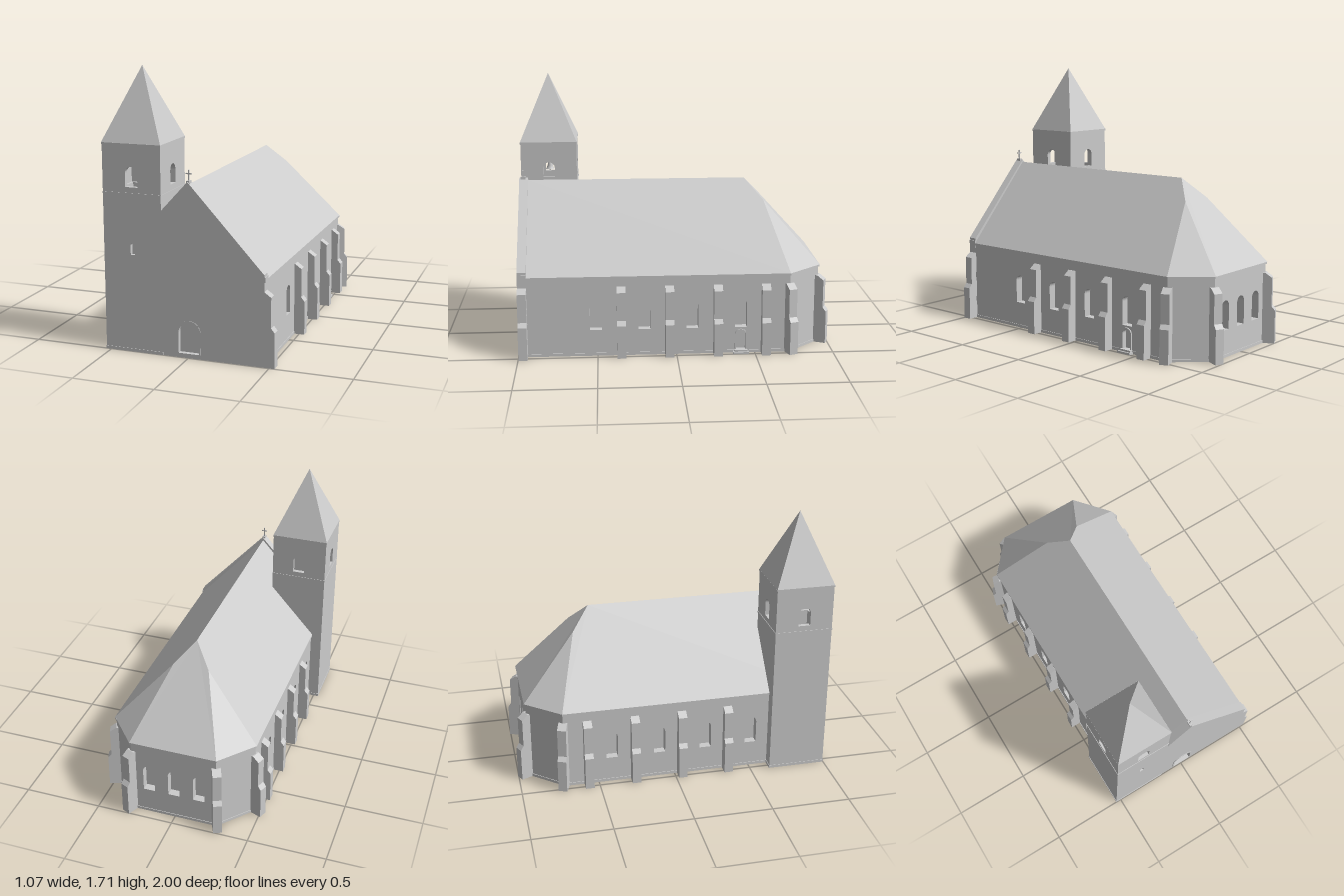
import * as THREE from 'three';

const stone = new THREE.MeshStandardMaterial({ color: 0xcccccc, side: THREE.DoubleSide });
stone.name = 'stone';

function add(parent, geo, name, x = 0, y = 0, z = 0) {
  const m = new THREE.Mesh(geo, stone);
  m.name = name;
  m.position.set(x, y, z);
  parent.add(m);
  return m;
}
const box = (parent, name, w, h, d, x, y, z) => add(parent, new THREE.BoxGeometry(w, h, d), name, x, y, z);
const poly = pts => new THREE.Shape(pts.map(p => new THREE.Vector2(...p)));

// Round-headed opening: centre u, width w, sill y0, crown y1
function arch(u, w, y0, y1) {
  const r = w / 2, s = new THREE.Shape();
  s.moveTo(u - r, y0);
  s.lineTo(u + r, y0);
  s.lineTo(u + r, y1 - r);
  s.absarc(u, y1 - r, r, 0, Math.PI, false);
  s.lineTo(u - r, y0);
  return s;
}

// Upright wall following a plan line, outer face on the line.
// Openings: { u, w, y0, y1, open } with u measured along the wall; closed ones end in a pane at the inner face.
function wall(parent, name, [x0, z0], [x1, z1], outline, openings = [], t = 0.05) {
  const g = new THREE.Group();
  g.name = name;
  const shape = poly(outline);
  for (const o of openings) {
    const a = arch(o.u, o.w, o.y0, o.y1);
    shape.holes.push(new THREE.Path(a.getPoints(8)));
    if (!o.open) add(g, new THREE.ShapeGeometry(a, 8), 'pane', 0, 0, -(o.depth ?? t));
  }
  add(g, new THREE.ExtrudeGeometry(shape, { depth: t, bevelEnabled: false }), 'masonry', 0, 0, -t);
  g.position.set(x0, 0, z0);
  g.rotation.y = Math.atan2(z0 - z1, x1 - x0);
  parent.add(g);
}
const rect = (len, y0, y1) => [[0, y0], [len, y0], [len, y1], [0, y1]];
const span = (p, q) => Math.hypot(q[0] - p[0], q[1] - p[1]);

// Horizontal band along a wall line
function band(parent, name, p, q, y0, y1, out) {
  const len = span(p, q);
  const g = new THREE.BoxGeometry(len + out, y1 - y0, out + 0.02).translate(len / 2, (y0 + y1) / 2, out / 2 - 0.01);
  add(parent, g, name, p[0], 0, p[1]).rotation.y = Math.atan2(p[1] - q[1], q[0] - p[0]);
}

// Two-stage buttress with sloping tops, pointing at an angle in plan
const buttressShape = poly([[-0.02, 0], [0.067, 0], [0.067, 0.215], [0.045, 0.242], [0.045, 0.425], [0.003, 0.455], [-0.02, 0.455]]);
function buttress(parent, x, z, angle) {
  const g = new THREE.ExtrudeGeometry(buttressShape, { depth: 0.056, bevelEnabled: false }).translate(0, 0, -0.028);
  add(parent, g, 'buttress', x, 0, z).rotation.y = angle;
}

// Thin raised surround for a door
function doorFrame(parent, name, outer, inner, x, z, angle) {
  outer.holes.push(new THREE.Path(inner.getPoints(8)));
  const g = new THREE.ExtrudeGeometry(outer, { depth: 0.008, bevelEnabled: false });
  add(parent, g, name, x, 0, z).rotation.y = angle;
}

export function createModel() {
  const church = new THREE.Group();
  church.name = 'church';
  church.position.x = 0.004;

  // Nave and apse walls
  const X = 0.463, H = 0.52, zc = -0.72, bx = 0.28, zb = -0.932;
  const win = u => ({ u, w: 0.076, y0: 0.17, y1: 0.355 });
  const bays = [0.51, 0.205, -0.1, -0.41];
  const nave = new THREE.Group();
  nave.name = 'nave';
  church.add(nave);
  const sideDoor = { u: 0.99 + 0.41, w: 0.06, y0: 0.022, y1: 0.148, depth: 0.025 };
  const plan = [[X, 0.99], [X, zc], [bx, zb], [-bx, zb], [-X, zc], [-X, 0.63]];
  const names = ['rightWall', 'apseRightWall', 'apseBackWall', 'apseLeftWall', 'leftWall'];
  const holes = [
    [...bays.map(z => win(0.99 - z)), sideDoor],
    [], [-0.165, 0, 0.165].map(d => win(bx + d)), [],
    bays.map(z => win(z - zc)),
  ];
  names.forEach((n, i) => {
    const p = plan[i], q = plan[i + 1];
    wall(nave, n, p, q, rect(span(p, q), 0, H), holes[i]);
    band(nave, 'eavesMoulding', p, q, 0.509, 0.522, 0.008);
    band(nave, 'plinth', p, q, 0, 0.018, 0.004);
  });
  // Ground slab beside the tower
  box(nave, 'floor', 0.63, 0.004, 1.71, 0.147, 0.002, 0.137);

  // Side door surround and steps
  doorFrame(nave, 'sideDoorFrame', arch(0, 0.076, 0.02, 0.158), arch(0, 0.06, 0.022, 0.148), X, -0.41, Math.PI / 2);
  box(nave, 'sideDoorLowerStep', 0.04, 0.012, 0.1, X + 0.015, 0.006, -0.41);
  box(nave, 'sideDoorUpperStep', 0.028, 0.024, 0.084, X + 0.01, 0.012, -0.41);

  // Front gable wall with main door
  const gable = [[-0.17, 0], [0.466, 0], [0.466, 0.555], [0, 1.063], [-0.17, 0.878]].map(([x, y]) => [x + 0.17, y]);
  const door = { u: 0.17, w: 0.128, y0: 0.028, y1: 0.22, depth: 0.025 };
  wall(church, 'gableWall', [-0.17, 0.997], [0.466, 0.997], gable, [door], 0.057);
  doorFrame(church, 'mainDoorFrame', arch(0, 0.15, 0.026, 0.232), arch(0, 0.128, 0.028, 0.22), 0, 0.992, 0);
  box(church, 'gableKneeler', 0.012, 0.022, 0.057, 0.466, 0.53, 0.968);

  // Gable cross
  const cross = new THREE.Group();
  cross.name = 'gableCross';
  cross.position.set(0, 1.05, 0.972);
  box(cross, 'crossBase', 0.02, 0.02, 0.034, 0, 0.008, 0);
  box(cross, 'crossUpright', 0.007, 0.08, 0.007, 0, 0.04, 0);
  box(cross, 'crossArms', 0.036, 0.007, 0.007, 0, 0.058, 0);
  church.add(cross);

  // Buttresses along the sides and on the apse corners
  const deg = Math.PI / 180;
  for (const s of [1, -1]) {
    const turn = a => (s > 0 ? a : Math.PI - a);
    for (const z of [0.35, 0.045, -0.262, -0.567]) buttress(church, s * X, z, turn(0));
    buttress(church, s * X, zc, turn(20 * deg));
    buttress(church, s * bx, zb, turn(65 * deg));
  }
  buttress(church, X, 0.969, 0);

  // Roof: two slopes, ridge and hipped apse end
  const e = 0.522, rx = 0.115, ry = 0.918, rz = -0.59, w = 0.471, b = 0.283, ze = -0.942;
  const F = [0, 1.046, 0.942], R = [0, 1.046, -0.473];
  const P = s => [[s * w, e, 0.942], [s * w, e, -0.722], [s * rx, ry, rz], [s * b, e, ze]];
  const [a, c, h, k] = P(1), [a2, c2, h2, k2] = P(-1);
  const faces = [[F, a, c, h, R], [h, c, k], [R, h, k, k2, h2], [h2, k2, c2], [R, h2, c2, a2, F]];
  const pos = [];
  for (const f of faces) for (let i = 1; i < f.length - 1; i++) pos.push(...f[0], ...f[i], ...f[i + 1]);
  const roof = new THREE.BufferGeometry();
  roof.setAttribute('position', new THREE.Float32BufferAttribute(pos, 3));
  roof.computeVertexNormals();
  add(church, roof, 'naveRoof');

  // Tower: thick shaft, thinner belfry with an opening on every side
  const tower = new THREE.Group();
  tower.name = 'tower';
  const T = 0.185, mid = 0.968, top = 1.265;
  tower.position.set(-0.351, 0, 0.812);
  const corners = [[-T, T], [T, T], [T, -T], [-T, -T]];
  const slit = { u: T, w: 0.026, y0: 0.6, y1: 0.67, depth: 0.025 };
  const belfryArch = { u: T, w: 0.078, y0: 1.008, y1: 1.13, open: true };
  corners.forEach((p, i) => {
    const q = corners[(i + 1) % 4];
    wall(tower, 'towerShaft', p, q, rect(2 * T, 0, mid), i === 0 ? [slit] : [], 0.045);
    wall(tower, 'belfryWall', p, q, rect(2 * T, mid, top), [belfryArch], 0.028);
    band(tower, 'stringCourse', p, q, 0.962, 0.974, 0.003);
    if (i !== 1) band(tower, 'towerPlinth', p, q, 0, 0.018, 0.003);
  });
  const spire = new THREE.ConeGeometry(0.188 * Math.SQRT2, 0.44, 4, 1).rotateY(Math.PI / 4).toNonIndexed();
  spire.computeVertexNormals();
  add(tower, spire, 'spire', 0, 1.265 + 0.22, 0);
  box(tower, 'spireEaves', 0.376, 0.012, 0.376, 0, 1.26, 0);

  // Bell with its yoke
  const profile = [[0, 0.06], [0.011, 0.058], [0.015, 0.048], [0.018, 0.022], [0.024, 0.008], [0.029, 0]];
  add(tower, new THREE.LatheGeometry(profile.map(p => new THREE.Vector2(...p)), 20), 'bell', 0, 1.053, 0);
  add(tower, new THREE.SphereGeometry(0.007, 10, 8), 'clapper', 0, 1.051, 0);
  box(tower, 'bellYoke', 0.008, 0.012, 0.07, 0, 1.117, 0);
  church.add(tower);

  return church;
}
